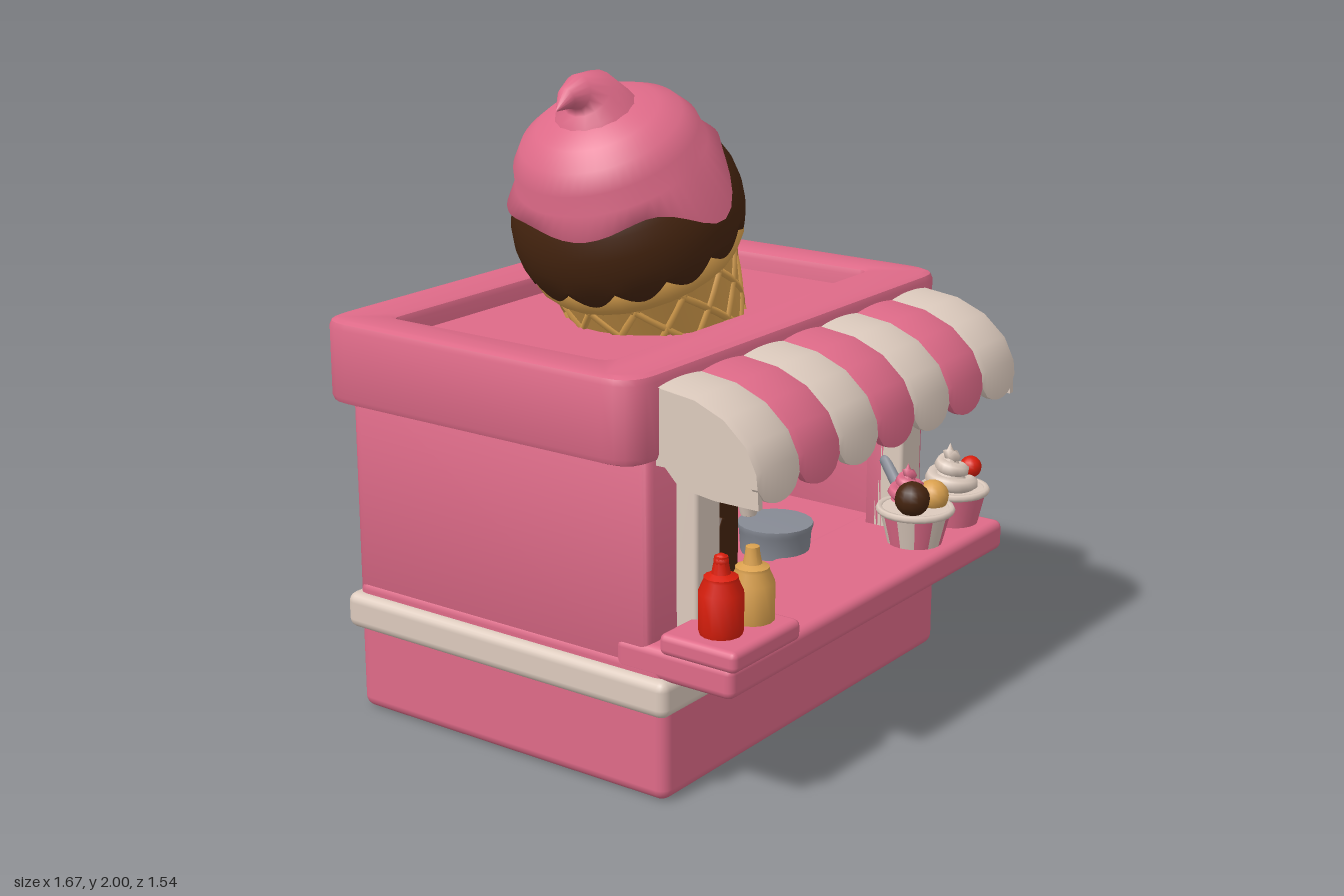
import * as THREE from 'three';
import { mergeVertices, toCreasedNormals } from 'three/addons/utils/BufferGeometryUtils.js';
import { RoundedBoxGeometry } from 'three/addons/geometries/RoundedBoxGeometry.js';

const mat = (name, color) => Object.assign(new THREE.MeshStandardMaterial({ color }), { name });

export function createModel() {
  const pink = mat('pink', 0xde6a88), cream = mat('cream', 0xdccabd), waffle = mat('waffle', 0xd9a04e);
  const chocolate = mat('chocolate', 0x45240f), red = mat('red', 0xd81e0c), steel = mat('steel', 0x868a94);
  const model = new THREE.Group();

  const add = (name, geo, material, x = 0, y = 0, z = 0, parent = model) => {
    const m = new THREE.Mesh(geo, material);
    m.name = name;
    m.position.set(x, y, z);
    parent.add(m);
    return m;
  };
  // rounded box given by its limits
  const box = (name, material, [x0, x1], [y0, y1], [z0, z1], r = 0.02) =>
    add(name, new RoundedBoxGeometry(x1 - x0, y1 - y0, z1 - z0, 2, r), material,
      (x0 + x1) / 2, (y0 + y1) / 2, (z0 + z1) / 2);
  // plan outline (x, -z) raised from y0 to y1
  const slab = (name, material, shape, y0, y1, b) => {
    const g = new THREE.ExtrudeGeometry(shape, {
      depth: y1 - y0 - 2 * b, bevelEnabled: true, bevelThickness: b, bevelSize: b,
      bevelOffset: -b, bevelSegments: 2, curveSegments: 5 });
    g.rotateX(-Math.PI / 2);
    return add(name, toCreasedNormals(g, 0.7), material, 0, y0 + b, 0);
  };
  const roundRect = (target, x, z0, z1, r) => {
    const a = -z1, b = -z0;
    target.moveTo(-x + r, a).lineTo(x - r, a).quadraticCurveTo(x, a, x, a + r)
      .lineTo(x, b - r).quadraticCurveTo(x, b, x - r, b)
      .lineTo(-x + r, b).quadraticCurveTo(-x, b, -x, b - r)
      .lineTo(-x, a + r).quadraticCurveTo(-x, a, -x + r, a);
    return target;
  };
  const smooth = (g) => {
    g.deleteAttribute('uv');
    g.deleteAttribute('normal');
    g = mergeVertices(g, 1e-4);
    g.computeVertexNormals();
    return g;
  };
  const lathe = (pts, n = 20) =>
    toCreasedNormals(new THREE.LatheGeometry(pts.map((p) => new THREE.Vector2(...p)), n), 0.7);
  // surface from rows of points, fn(row, column) -> [x, y, z]
  const grid = (rows, cols, fn) => {
    const pos = [], idx = [];
    for (let i = 0; i < rows; i++) for (let j = 0; j < cols; j++) {
      pos.push(...fn(i, j));
      if (i < rows - 1 && j < cols - 1) {
        const a = i * cols + j, c = a + cols;
        idx.push(a, c, a + 1, a + 1, c, c + 1);
      }
    }
    const g = new THREE.BufferGeometry();
    g.setAttribute('position', new THREE.Float32BufferAttribute(pos, 3));
    g.setIndex(idx);
    return g;
  };

  // ---- building ----
  box('lowerBody', pink, [-0.76, 0.76], [0, 0.43], [-0.71, 0.48], 0.035);
  box('trimBand', cream, [-0.79, 0.79], [0.27, 0.385], [-0.735, 0.5], 0.03);
  const walls = new THREE.Shape();
  walls.moveTo(-0.5, -0.42).lineTo(-0.725, -0.42).quadraticCurveTo(-0.755, -0.42, -0.755, -0.39)
    .lineTo(-0.755, 0.675).quadraticCurveTo(-0.755, 0.715, -0.715, 0.715)
    .lineTo(0.715, 0.715).quadraticCurveTo(0.755, 0.715, 0.755, 0.675)
    .lineTo(0.755, -0.39).quadraticCurveTo(0.755, -0.42, 0.725, -0.42)
    .lineTo(0.5, -0.42).lineTo(0.5, -0.36).lineTo(0.69, -0.36).lineTo(0.69, 0.65)
    .lineTo(-0.69, 0.65).lineTo(-0.69, -0.36).lineTo(-0.5, -0.36);
  slab('walls', pink, walls, 0.36, 1.1, 0.008);
  box('frontHeader', pink, [-0.52, 0.52], [0.9, 1.1], [0.36, 0.42], 0.01);
  const roof = roundRect(new THREE.Shape(), 0.835, -0.765, 0.43, 0.11);
  roof.holes.push(roundRect(new THREE.Path(), 0.68, -0.585, 0.225, 0.025));
  slab('roofRim', pink, roof, 1.01, 1.27, 0.025);
  box('roofDeck', pink, [-0.72, 0.72], [1.05, 1.205], [-0.63, 0.27], 0.01);

  // ---- serving window ----
  for (const s of [-1, 1])
    box('windowPost', cream, s < 0 ? [-0.62, -0.5] : [0.5, 0.62], [0.45, 1.0], [0.38, 0.49], 0.012);
  box('windowLintel', cream, [-0.53, 0.53], [0.87, 1.02], [0.38, 0.5], 0.012);
  box('counter', pink, [-0.76, 0.79], [0.375, 0.475], [0.3, 0.71], 0.025);
  box('sideShelf', pink, [-0.765, -0.43], [0.46, 0.525], [0.46, 0.725], 0.02);

  // ---- awning ----
  const outer = [[0.42, 1.23], [0.55, 1.215], [0.65, 1.175], [0.725, 1.11], [0.76, 1.04], [0.765, 0.94]];
  const inner = outer.map(([z, y], i) => [z - 0.02, i === 5 ? y : y - 0.02]).reverse();
  const profile = [...outer, ...inner], half = 0.72 / 7;
  for (let k = 0; k < 7; k++) {
    const g = grid(profile.length, 9, (i, j) => {
      const t = j / 4 - 1, [z, y] = profile[i];
      const bulge = 0.008 * (1 - t * t);
      const drop = y === 0.94 ? 0.065 * (1 - Math.sqrt(1 - 0.98 * t * t)) : bulge;
      return [t * half, y + drop, z + bulge];
    });
    add('awningStripe', toCreasedNormals(g, 0.8), k % 2 ? pink : cream, (2 * k - 6) * half);
  }
  const side = new THREE.Shape(outer.map(([z, y]) => new THREE.Vector2(-z, y - 0.004)));
  side.lineTo(-0.62, 0.936).lineTo(-0.5, 0.95).lineTo(-0.45, 1.0).lineTo(-0.42, 1.0);
  for (const x of [-0.715, 0.695]) {
    const g = new THREE.ExtrudeGeometry(side, { depth: 0.02, bevelEnabled: false });
    g.rotateY(Math.PI / 2);
    add('awningEnd', g, cream, x);
  }

  // ---- giant cone on the roof ----
  const cone = new THREE.Group();
  cone.name = 'giantCone';
  cone.position.set(-0.09, 1.48, -0.13);
  cone.rotation.z = 0.435;
  model.add(cone);
  const coneR = (s) => 0.3 + 0.12 * s;
  add('waffleCone', lathe([[0, -0.46], [coneR(-0.46), -0.46], [coneR(-0.08), -0.08], [0.318, -0.075],
    [0.335, -0.05], [0.335, 0], [0.31, 0.04]], 28), waffle, 0, 0, 0, cone);
  for (let k = 0; k < 24; k++) {
    const dir = k % 2 ? 1 : -1, pts = [];
    for (let i = 0; i <= 8; i++) {
      const s = -0.46 + 0.39 * i / 8, a = (k >> 1) * Math.PI / 6 + dir * i * 0.14;
      pts.push(new THREE.Vector3(Math.sin(a) * coneR(s), s, Math.cos(a) * coneR(s)));
    }
    add('waffleRidge', new THREE.TubeGeometry(new THREE.CatmullRomCurve3(pts), 10, 0.012, 4), waffle, 0, 0, 0, cone);
  }
  // chocolate coat with scalloped hem
  const coatR = (s) => 0.36 * Math.sqrt(Math.max(0, 1 - ((s - 0.075) / 0.32) ** 2));
  const coat = [-0.035, -0.03, 0.03, 0.08, 0.14, 0.2, 0.26, 0.3];
  add('chocolateCoat', smooth(grid(coat.length, 113, (i, j) => {
    const a = -j / 112 * Math.PI * 2;
    const s = coat[i] + (i < 2 ? 0.05 * (1 - Math.abs(Math.sin(7 * a))) : 0);
    const r = i ? coatR(s) : 0.31;
    return [r * Math.cos(a), s, -r * Math.sin(a)];
  })), chocolate, 0, 0, 0, cone);
  // pink scoop with drips front and back
  const scoop = [[0.27, 0.22], [0.298, 0.22], [0.3, 0.27], [0.288, 0.33], [0.25, 0.385], [0.19, 0.425], [0.1, 0.46], [0, 0.47]];
  add('pinkScoop', smooth(grid(scoop.length, 57, (i, j) => {
    const a = j / 56 * Math.PI * 2;
    let [r, s] = scoop[i];
    if (i < 2) {
      s -= 0.1 * Math.sin(a) ** 16 + 0.012 * Math.sin(5 * a);
      r = coatR(s) + (i ? 0.016 : -0.02);
    }
    return [r * Math.cos(a), s, r * Math.sin(a)];
  })), pink, 0, 0, 0, cone);
  // curled tip: x, y, radius, lean
  const curl = [[0, 0.41, 0.15, 0], [0, 0.46, 0.118, 0], [-0.01, 0.51, 0.085, 0.4], [-0.05, 0.54, 0.052, 1],
    [-0.1, 0.548, 0.032, 1.4], [-0.155, 0.54, 0.002, 1.6]];
  add('curledTip', smooth(grid(curl.length, 17, (i, j) => {
    const [x, y, r, lean] = curl[i], a = j / 16 * Math.PI * 2, c = r * Math.cos(a);
    return [x + c * Math.cos(lean), y + c * Math.sin(lean), r * Math.sin(a)];
  })), pink, 0, 0, 0, cone);

  // ---- sauce bottles ----
  const bottle = [[0, 0], [0.06, 0], [0.066, 0.02], [0.066, 0.13], [0.05, 0.165], [0.05, 0.175], [0.028, 0.185],
    [0.022, 0.215], [0.02, 0.235], [0, 0.24]];
  add('redSauceBottle', lathe(bottle, 14), red, -0.655, 0.52, 0.6);
  add('bottleKnob', new THREE.SphereGeometry(0.023, 10, 8), red, -0.655, 0.74, 0.6);
  add('yellowSauceBottle', lathe(bottle, 14), waffle, -0.515, 0.51, 0.61);

  // ---- sundaes on the counter ----
  const cup = (x, z, r, mats) => {
    for (let k = 0; k < 12; k++)
      add('cupStripe', new THREE.CylinderGeometry(r, r * 0.76, 0.11, 2, 1, true, k * Math.PI / 6, Math.PI / 6),
        mats[k % mats.length], x, 0.53, z);
    add('cupFilling', new THREE.CylinderGeometry(r * 0.98, r * 0.9, 0.02, 20), cream, x, 0.58, z);
    const rim = add('cupRim', new THREE.TorusGeometry(r, 0.012, 6, 24), cream, x, 0.585, z);
    rim.rotation.x = Math.PI / 2;
  };
  const ball = (name, m, r, x, y, z) => add(name, new THREE.SphereGeometry(r, 14, 10), m, x, y, z);
  const swirl = (m, x, y, z, r) => {
    const pts = [];
    for (let i = 0; i <= 30; i++) {
      const t = i / 30, q = r * (1 - t);
      pts.push(new THREE.Vector3(q * Math.cos(t * 16), t * r * 1.5, q * Math.sin(t * 16)));
    }
    add('creamSwirl', new THREE.TubeGeometry(new THREE.CatmullRomCurve3(pts), 60, r * 0.32, 6), m, x, y, z);
    add('creamPeak', new THREE.ConeGeometry(r * 0.9, r * 2, 12), m, x, y + r * 0.9, z);
  };
  cup(0.44, 0.58, 0.115, [pink, cream]);
  ball('chocolateBall', chocolate, 0.056, 0.385, 0.635, 0.6);
  ball('vanillaBall', waffle, 0.052, 0.495, 0.618, 0.61);
  swirl(pink, 0.44, 0.615, 0.55, 0.06);
  const spoon = add('spoon', new THREE.CapsuleGeometry(0.02, 0.13, 4, 8), steel, 0.49, 0.65, 0.47);
  spoon.rotation.set(-0.7, 0, -0.2);
  cup(0.685, 0.58, 0.105, [pink]);
  swirl(cream, 0.67, 0.6, 0.57, 0.075);
  ball('cherry', red, 0.036, 0.755, 0.645, 0.6);

  // ---- equipment inside ----
  box('chocolateCabinet', chocolate, [-0.265, -0.02], [0.43, 0.7], [0.0, 0.22], 0.012);
  const lever = box('cabinetHandle', chocolate, [-0.17, -0.15], [0.53, 0.65], [0.22, 0.24], 0.005);
  lever.rotation.z = -0.5;
  box('chocolateTray', chocolate, [-0.6, -0.42], [0.43, 0.6], [0.08, 0.3], 0.012);
  add('steelPot', lathe([[0, 0], [0.11, 0], [0.115, 0.07], [0.12, 0.08], [0.12, 0.095], [0, 0.1]]), steel, 0.135, 0.465, 0.25);
  add('softServeSpout', lathe([[0, 0], [0.04, 0], [0.065, 0.02], [0.07, 0.05], [0.055, 0.06], [0.058, 0.3], [0, 0.3]], 14),
    steel, -0.015, 0.68, 0.25);
  add('spoutNozzle', lathe([[0, 0], [0.025, 0.01], [0.042, 0.07], [0, 0.075]], 12), cream, -0.015, 0.615, 0.25);
  return model;
}
